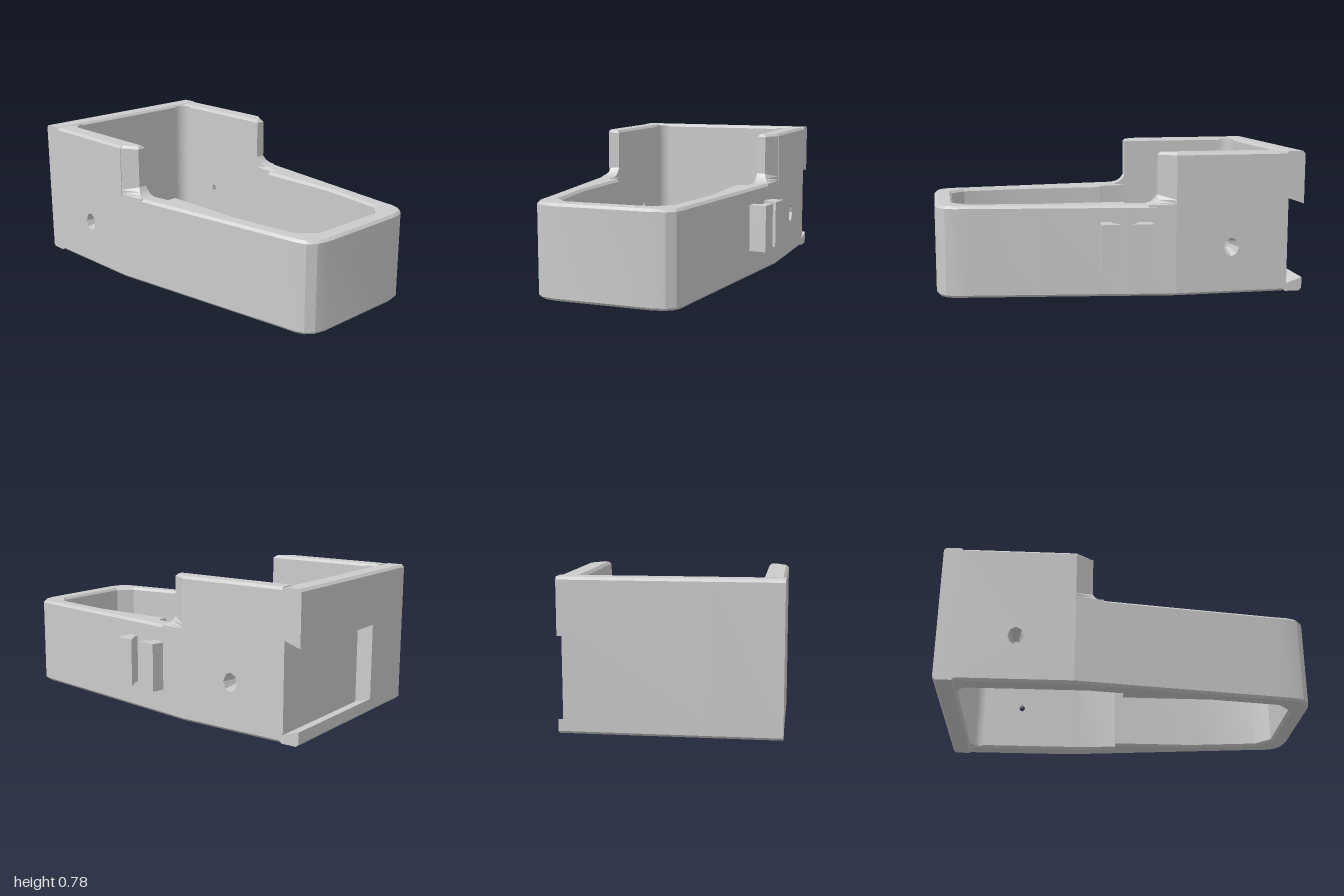
import * as THREE from 'three';
import { toCreasedNormals } from 'three/addons/utils/BufferGeometryUtils.js';

const HIGH = 0.78, LOW = 0.5, BACK = -0.89; // wall heights, inner face of back wall
const INNER = 0.445, OUTER = 0.553, C = 0.014; // half widths, edge chamfer

// Turns the faces outward and sharpens the edges
function finish(geo) {
  const g = geo.index ? geo.toNonIndexed() : geo;
  const p = g.attributes.position, a = p.array;
  const v = [0, 1, 2].map(() => new THREE.Vector3());
  let volume = 0;
  for (let i = 0; i < p.count; i += 3) {
    v.forEach((q, k) => q.fromBufferAttribute(p, i + k));
    volume += v[0].dot(v[1].clone().cross(v[2]));
  }
  const out = new THREE.BufferGeometry();
  if (volume < 0) {
    for (let i = 0; i < a.length; i += 9) {
      for (let k = 0; k < 3; k++) [a[i + k], a[i + 3 + k]] = [a[i + 3 + k], a[i + k]];
    }
  }
  out.setAttribute('position', new THREE.BufferAttribute(a, 3));
  return toCreasedNormals(out, 0.4);
}

// Skin over equal-length cross-section loops, closed at both ends
function loft(sections) {
  const n = sections[0].length, index = [], last = (sections.length - 1) * n;
  for (let i = 0; i < sections.length - 1; i++) {
    for (let j = 0; j < n; j++) {
      const a = i * n + j, b = i * n + (j + 1) % n;
      index.push(a, b, b + n, a, b + n, a + n);
    }
  }
  for (let j = 1; j < n - 1; j++) index.push(0, j + 1, j, last, last + j, last + j + 1);
  const g = new THREE.BufferGeometry();
  g.setAttribute('position', new THREE.Float32BufferAttribute(sections.flat(2), 3));
  g.setIndex(index);
  return finish(g);
}

// Extrudes a shape, then places each point by a rule (u, v, depth) -> [x, y, z]
function extrude(shape, depth, rule) {
  const g = new THREE.ExtrudeGeometry(shape, { depth, bevelEnabled: false, curveSegments: 5 });
  const p = g.attributes.position;
  for (let i = 0; i < p.count; i++) p.setXYZ(i, ...rule(p.getX(i), p.getY(i), p.getZ(i)));
  return finish(g);
}

const polygon = (pts) => new THREE.Shape(pts.map(([x, y]) => new THREE.Vector2(x, y)));

export function createModel() {
  const model = new THREE.Group();
  model.name = 'holder';
  model.position.x = -0.035;
  const root = new THREE.Group();
  root.add(model);
  const material = new THREE.MeshStandardMaterial({ color: 0xcccccc });
  const add = (name, geometry) => {
    const mesh = new THREE.Mesh(geometry, material);
    mesh.name = name;
    model.add(mesh);
  };

  // Low front frame: stations of outer x, z and inner x, z along one side
  const half = [
    [0.553, -0.28, 0.445, -0.28], [0.542, -0.2, 0.445, -0.2],
    [0.518, -0.02, 0.42, -0.02], [0.518, -0.02, 0.365, -0.02],
    [0.455, 0.45, 0.365, 0.45], [0.406, 0.82, 0.315, 0.82],
    [0.396, 0.9, 0.313, 0.825], [0.378, 0.95, 0.29, 0.845],
    [0.335, 0.985, 0.26, 0.875], [0.27, 1, 0.235, 0.9],
  ];
  const stations = [...half, ...half.slice().reverse().map(([ox, oz, ix, iz]) => [-ox, oz, -ix, iz])];
  add('frontFrame', loft(stations.map(([ox, oz, ix, iz]) => {
    const t = C / Math.hypot(ox - ix, oz - iz);
    return [[0, C], [0, LOW - C], [t, LOW], [1 - t, LOW], [1, LOW - C], [1, C], [1 - t, 0], [t, 0]]
      .map(([k, y]) => [ox + (ix - ox) * k, y, oz + (iz - oz) * k]);
  })));

  for (const s of [1, -1]) {
    const side = s > 0 ? 'left' : 'right';

    // Tall side wall with a hole that narrows inward
    const hz = -0.59, hy = 0.26;
    const wall = polygon([[BACK, C], [-0.28, C], [-0.28, HIGH - C], [BACK, HIGH - C]]);
    const hole = new THREE.Path();
    for (let i = 0; i < 8; i++) {
      const a = (i / 8) * Math.PI * 2;
      hole[i ? 'lineTo' : 'moveTo'](hz + 0.042 * Math.cos(a), hy + 0.052 * Math.sin(a));
    }
    hole.closePath();
    wall.holes.push(hole);
    add(side + 'Wall', extrude(wall, OUTER - INNER, (z, y, d) => {
      const k = d < 0.01 && Math.hypot(z - hz, y - hy) < 0.07 ? 0.4 : 1;
      return [s * (INNER + d), hy + (y - hy) * k, hz + (z - hz) * k];
    }));

    // Chamfered top and bottom rims of the side wall
    const rim = (y, c) => [[INNER + c, BACK], [OUTER - c, BACK], [OUTER - c, -0.28], [INNER + c, -0.28]]
      .map(([x, z]) => [s * x, y, z]);
    add(side + 'WallTopRim', loft([rim(HIGH - C, 0), rim(HIGH, C)]));
    add(side + 'WallBottomRim', loft([rim(0, C), rim(C, 0)]));

    // Tapered front end of the tall wall, flaring into the low frame
    const nose = (y, f, c = 0) => [
      [INNER + c, -0.285], [OUTER - c, -0.285],
      [0.495 + 0.037 * f - c, -0.19 + 0.06 * f - c], [INNER + c, -0.195 + 0.065 * f - c],
    ].map(([x, z]) => [s * x, y, z]);
    add(side + 'WallEnd', loft([
      nose(LOW - 0.02, 1), nose(LOW, 1), nose(0.508, 0.6), nose(0.525, 0.25),
      nose(0.55, 0), nose(HIGH - C, 0), nose(HIGH, 0, C),
    ]));

    // Rounded inner corner at the back
    const r = 0.07;
    const corner = new THREE.Shape();
    corner.moveTo(INNER, BACK);
    corner.lineTo(INNER, BACK + r);
    corner.absarc(INNER - r, BACK + r, r, 0, -Math.PI / 2, true);
    corner.closePath();
    add(side + 'BackCorner', extrude(corner, HIGH - C, (x, z, d) => [s * x, d + C / 2, z]));
  }

  // Back wall: solid part, and a part with a dovetail recess open to the left
  const recessEnd = -0.195;
  const inside = [[BACK, C], [BACK, HIGH - C], [BACK - C, HIGH], [-1 + C, HIGH], [-1, HIGH - C]];
  const base = [[-1, C], [-1 + C, 0], [BACK - C, 0]];
  const recess = [[-1, 0.49], [-0.91, 0.52], [-0.91, 0.045], [-1, 0.075]];
  add('backWallSolid', extrude(polygon([...inside, ...base]), OUTER + recessEnd,
    (z, y, d) => [-OUTER + d, y, z]));
  add('backWallRecessed', extrude(polygon([...inside, ...recess, ...base]), OUTER - recessEnd,
    (z, y, d) => [recessEnd + d, y, z]));

  // Pair of flared clips on the left side (plan x, z)
  const clips = {
    rearClip: [[0.52, -0.07], [0.53, -0.1], [0.555, -0.15], [0.622, -0.135], [0.608, -0.022], [0.54, -0.075]],
    frontClip: [[0.49, 0.075], [0.53, 0.07], [0.605, 0.03], [0.595, 0.14], [0.505, 0.13], [0.48, 0.12]],
  };
  for (const [name, plan] of Object.entries(clips)) {
    add(name, extrude(polygon(plan), 0.26, (x, z, d) => [x, 0.15 + d, z]));
  }
  return root;
}
